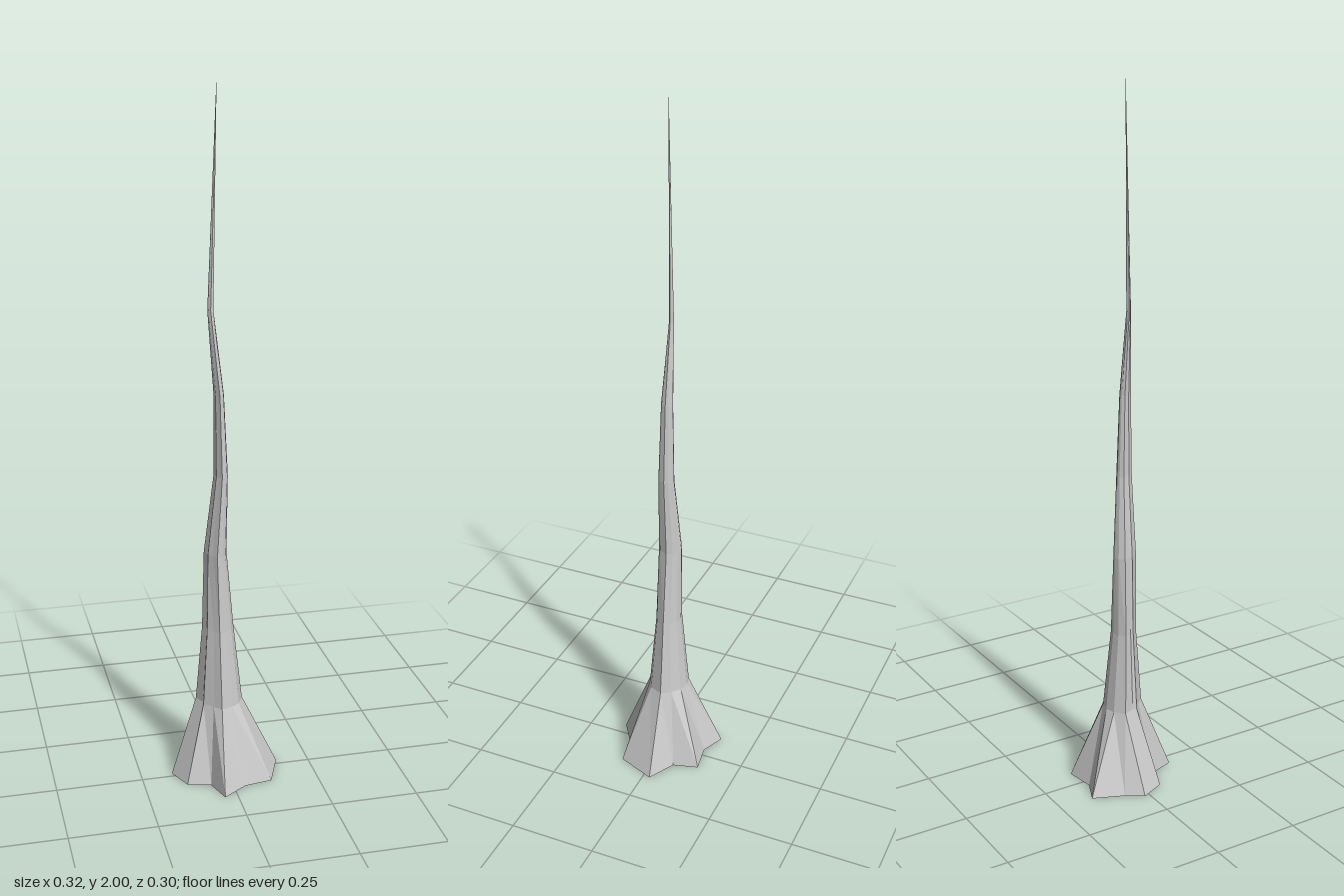
import * as THREE from 'three';

// Star-shaped root outline at the ground, as [x, z]
const BASE = [
  [-0.16, -0.015], [-0.128, -0.063], [-0.092, -0.15], [-0.025, -0.121],
  [0.058, -0.134], [0.078, -0.063], [0.157, -0.02], [0.114, 0.088],
  [0.034, 0.1], [-0.037, 0.147], [-0.062, 0.075], [-0.128, 0.056],
];
// Rounder outline just above the flare
const COLLAR = [
  [-0.068, 0], [-0.083, -0.033], [-0.055, -0.055], [-0.025, -0.062],
  [0.005, -0.055], [0.03, -0.035], [0.048, -0.008], [0.03, 0.03],
  [0.006, 0.045], [-0.025, 0.055], [-0.045, 0.034], [-0.07, 0.012],
];
// Upper cross-sections: height, x range, z range
const LEVELS = [
  [0.46, -0.066, 0.022, -0.04, 0.035],
  [0.69, -0.06, 0.002, -0.038, 0.031],
  [0.92, -0.034, 0.004, -0.021, 0.026],
  [1.15, -0.034, -0.007, -0.015, 0.02],
  [1.385, -0.051, -0.035, -0.007, 0.006],
];
const TIP = [-0.025, 2, 0];

// Fits the collar outline into the ranges of a level
function fitRing([y, x0, x1, z0, z1]) {
  return COLLAR.map(([x, z]) => [
    x0 + (x1 - x0) * (x + 0.083) / 0.131, y,
    z0 + (z1 - z0) * (z + 0.062) / 0.117,
  ]);
}

function loft(rings, tip) {
  const pos = [];
  const tri = (...points) => points.forEach((p) => pos.push(...p));
  const n = rings[0].length;
  for (let i = 0; i < n; i++) {
    const j = (i + 1) % n;
    for (let k = 0; k < rings.length - 1; k++) {
      const low = rings[k], high = rings[k + 1];
      tri(low[i], high[i], high[j]);
      tri(low[i], high[j], low[j]);
    }
    const last = rings[rings.length - 1];
    tri(last[i], tip, last[j]);
    tri([0, 0, 0], rings[0][i], rings[0][j]); // underside
  }
  const geometry = new THREE.BufferGeometry();
  geometry.setAttribute('position', new THREE.Float32BufferAttribute(pos, 3));
  geometry.computeVertexNormals();
  return geometry;
}

export function createModel() {
  const group = new THREE.Group();
  group.name = 'spire';
  const rings = [
    BASE.map(([x, z]) => [x, 0, z]),
    COLLAR.map(([x, z]) => [x, 0.23, z]),
    ...LEVELS.map(fitRing),
  ];
  // Faceted trunk with flared roots and a thin, bent tip
  const trunk = new THREE.Mesh(
    loft(rings, TIP),
    new THREE.MeshStandardMaterial({ color: 0xcccccc, flatShading: true }),
  );
  trunk.name = 'trunk';
  group.add(trunk);
  return group;
}
